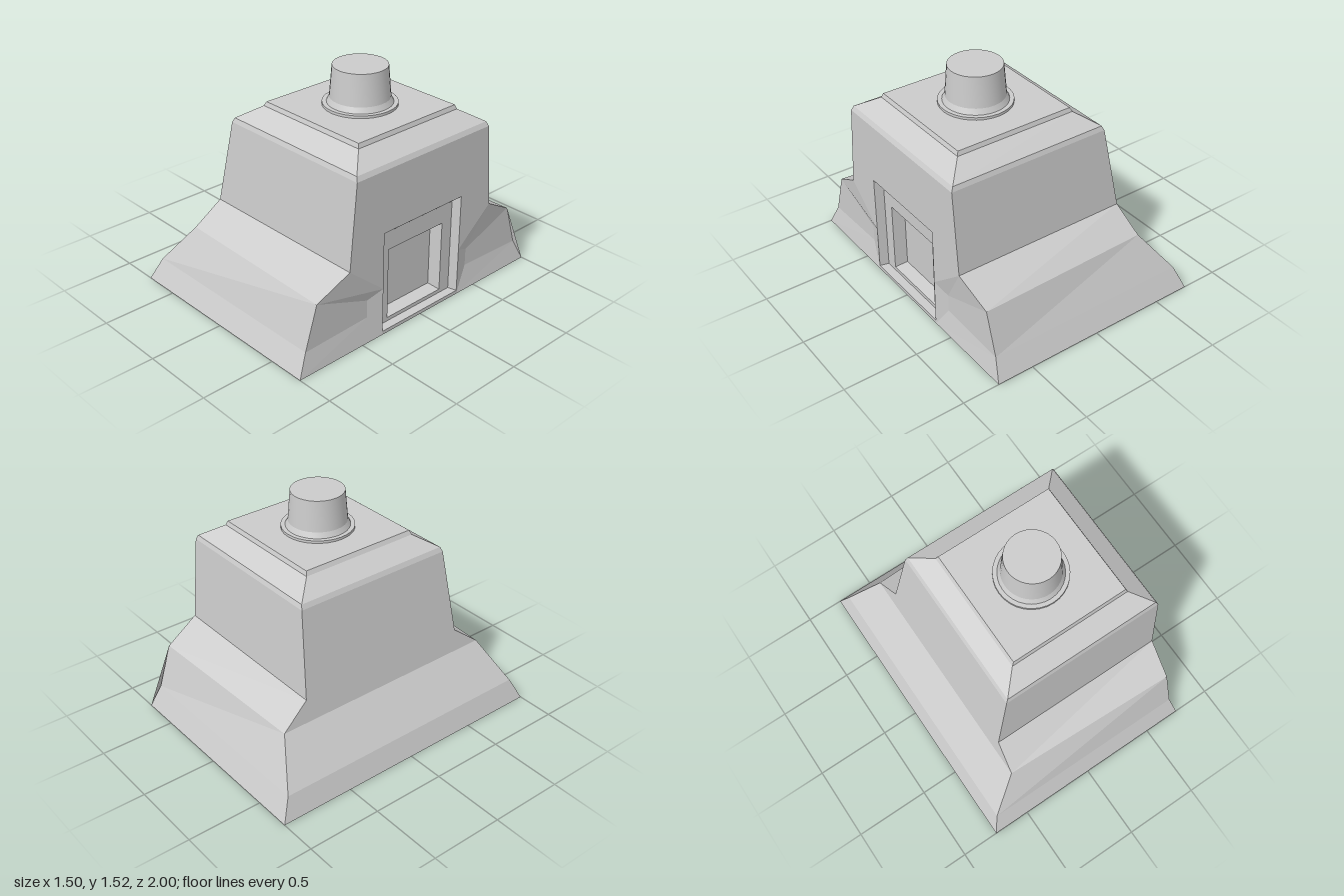
import * as THREE from 'three';
import { toCreasedNormals } from 'three/addons/utils/BufferGeometryUtils.js';

const material = new THREE.MeshStandardMaterial({ color: 0xcccccc });

// Joins successive loops of corners (counterclockwise from outside) with flat quads.
// skip(level, side) leaves a side open; the last loop is capped.
function loft(loops, skip = () => false) {
  const p = [];
  const quad = (a, b, c, d) => p.push(...a, ...b, ...c, ...a, ...c, ...d);
  for (let l = 0; l < loops.length - 1; l++) {
    const a = loops[l], b = loops[l + 1];
    for (let i = 0; i < 4; i++) {
      const j = (i + 1) % 4;
      if (!skip(l, i)) quad(a[i], a[j], b[j], b[i]);
    }
  }
  quad(...loops[loops.length - 1]);
  const g = new THREE.BufferGeometry();
  g.setAttribute('position', new THREE.Float32BufferAttribute(p, 3));
  g.computeVertexNormals();
  return g;
}

// Corners [z, y] placed on a plane of constant x
const onX = (x, pts) => pts.map(([z, y]) => [x, y, z]);
const mirrorZ = (loops) => loops.map((l) => l.map(([x, y, z]) => [x, y, -z]).reverse());

export function createModel() {
  const group = new THREE.Group();
  const add = (name, geometry) => {
    const mesh = new THREE.Mesh(geometry, material);
    mesh.name = name;
    group.add(mesh);
  };

  // Body and flared skirt: [left x, y, z] and [right x, y, z] at each level
  const levels = [
    [[-0.75, 0, 1], [0.75, 0, 1]],
    [[-0.695, 0.145, 0.93], [0.72, 0.145, 0.93]],
    [[-0.49, 0.415, 0.795], [0.72, 0.43, 0.84]],
    [[-0.465, 0.56, 0.61], [0.75, 0.56, 0.61]],
    [[-0.368, 1.12, 0.558], [0.75, 1.12, 0.558]],
    [[-0.353, 1.15, 0.547], [0.735, 1.15, 0.547]],
    [[-0.23, 1.232, 0.415], [0.61, 1.232, 0.415]],
    [[-0.215, 1.26, 0.405], [0.6, 1.26, 0.405]],
  ];
  const back = ([x, y, z]) => [x, y, -z];
  const rings = levels.map(([l, r]) => [l, r, back(r), back(l)]);
  add('body', loft(rings, (level, side) => side === 1 && level < 4));
  add('underside', loft([[...rings[0]].reverse()]));

  // Upright wall around the doorway
  const cheek = [onX(0.75, [[0.61, 0.56], [0.335, 0.33], [0.335, 0.71], [0.558, 1.12]])];
  add('leftWall', loft(cheek));
  add('rightWall', loft(mirrorZ(cheek)));
  add('upperWall', loft([onX(0.75, [[0.335, 0.71], [-0.335, 0.71], [-0.558, 1.12], [0.558, 1.12]])]));
  add('threshold', loft([onX(0.75, [[0.335, 0], [-0.335, 0], [-0.335, 0.025], [0.335, 0.025]])]));

  // Shallow hollows in the skirt ends on both sides of the door
  const hollow = [
    onX(0.75, [[1, 0], [0.335, 0], [0.335, 0.33], [0.61, 0.56]]),
    onX(0.72, [[0.93, 0.145], [0.44, 0.16], [0.44, 0.28], [0.84, 0.43]]),
  ];
  add('leftSkirtEnd', loft(hollow));
  add('rightSkirtEnd', loft(mirrorZ(hollow)));

  // Doorway stepped inwards twice: x, half width, bottom, top
  const steps = [
    [0.75, 0.335, 0.025, 0.71],
    [0.69, 0.32, 0.025, 0.66],
    [0.69, 0.235, 0.05, 0.535],
    [0.605, 0.22, 0.065, 0.505],
  ];
  add('doorway', loft(steps.map(([x, w, b, t]) => onX(x, [[w, b], [-w, b], [-w, t], [w, t]]))));

  // Chimney with a thin base flange and closed top
  const profile = [[0.235, 1.26], [0.235, 1.277], [0.207, 1.277], [0.19, 1.312], [0.173, 1.516], [0, 1.516]]
    .map(([r, y]) => new THREE.Vector2(r, y));
  const chimney = toCreasedNormals(new THREE.LatheGeometry(profile, 32), 0.3);
  chimney.translate(0.19, 0, 0);
  add('chimney', chimney);

  return group;
}
